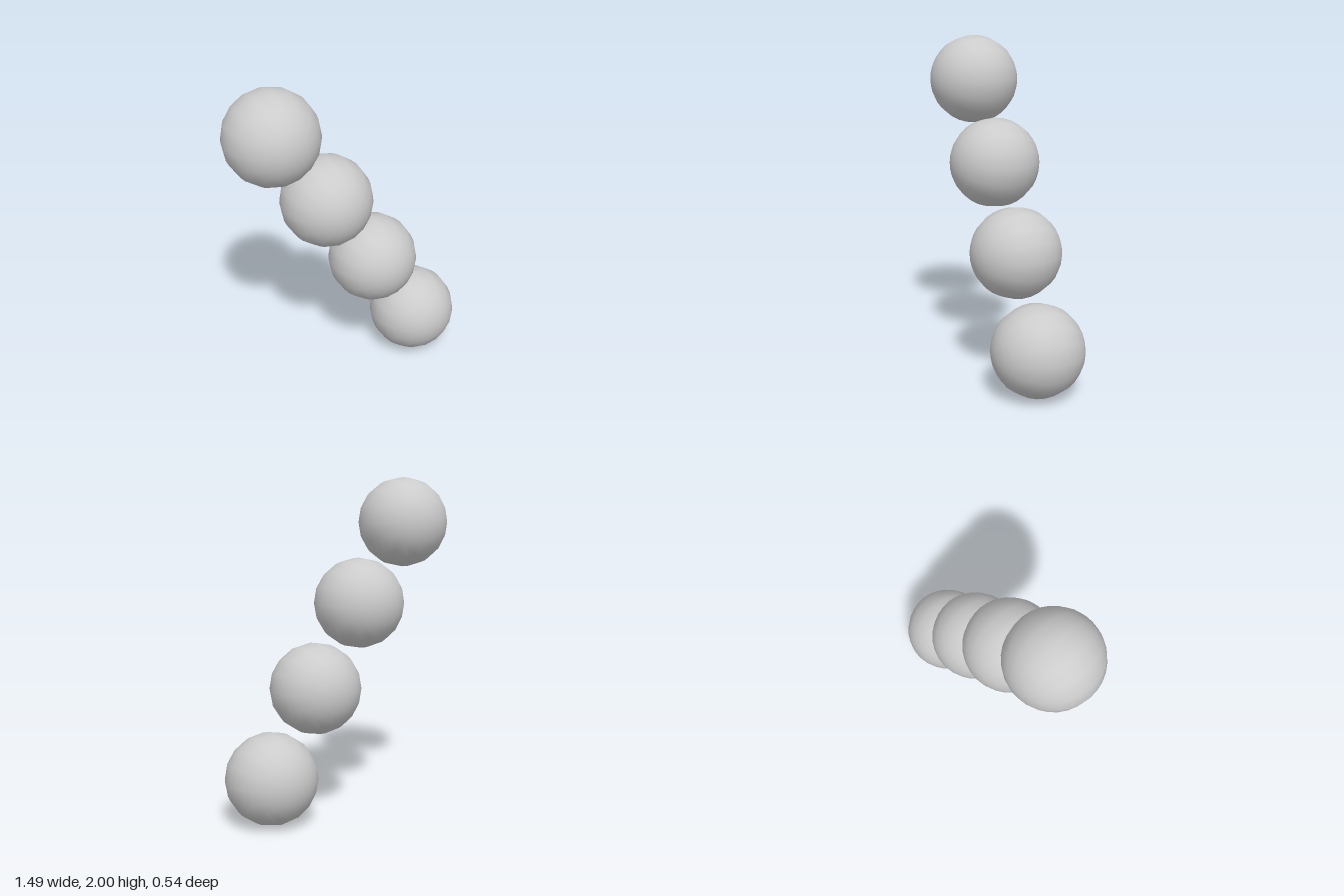
import * as THREE from 'three';

export function createModel() {
  const group = new THREE.Group();
  group.name = 'ballRow';
  const material = new THREE.MeshStandardMaterial({ color: 0xcccccc });

  // Smooth-shaded ball with its poles on the z axis
  const ball = new THREE.SphereGeometry(0.271, 16, 16).rotateX(Math.PI / 2);

  // Ball centres, from the upper right to the lower left of the model
  const centres = [[-0.475, 1.732], [-0.148, 1.255], [0.166, 0.768], [0.471, 0.271]];
  centres.forEach(([x, y], i) => {
    const mesh = new THREE.Mesh(ball, material);
    mesh.name = `ball${i + 1}`;
    mesh.position.set(x, y, 0);
    group.add(mesh);
  });
  return group;
}
